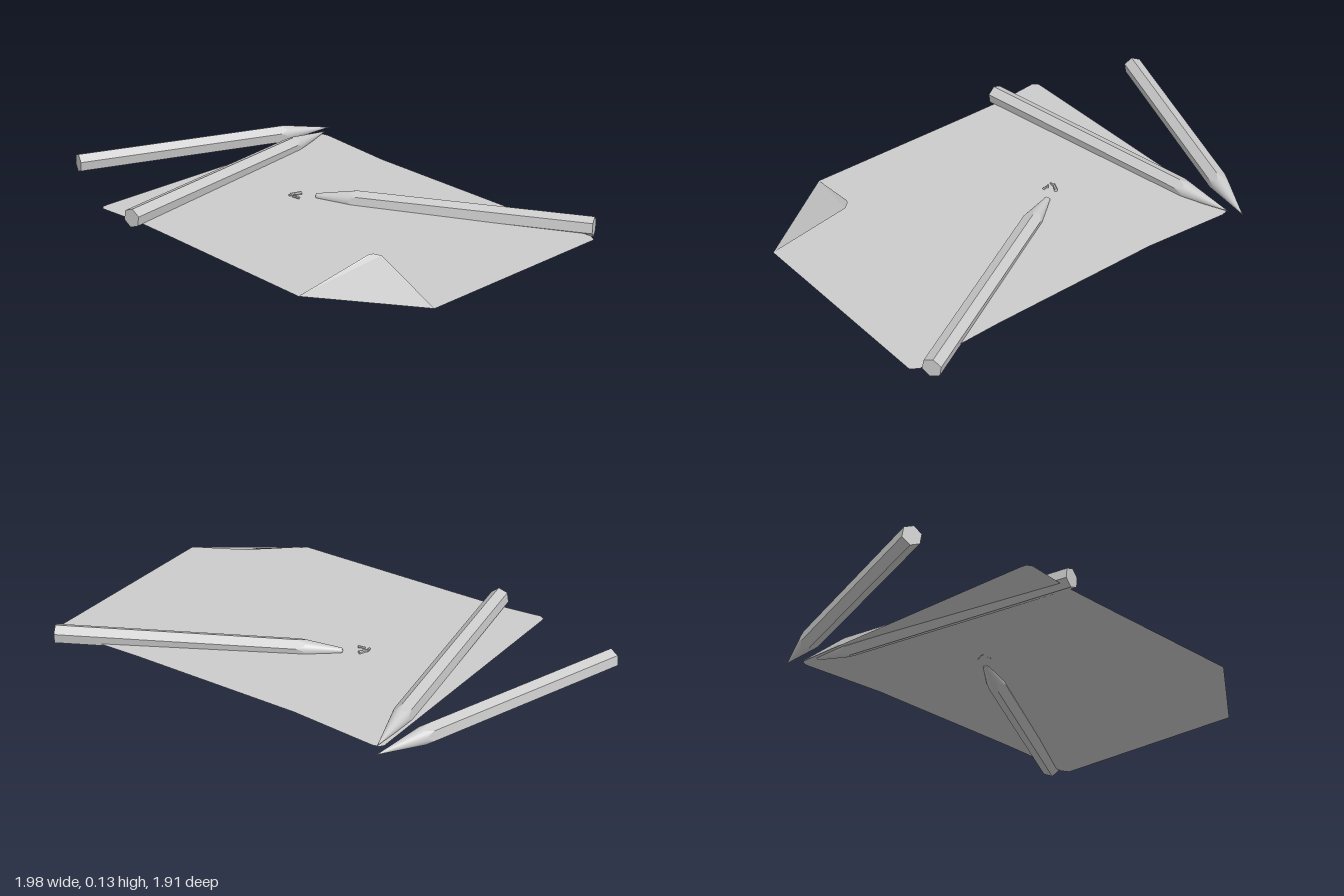
import * as THREE from 'three';

const R = 0.042;          // corner radius of the hexagonal barrel
const CONE = 0.25;        // full length of the sharpened cone
const LEAD = 0.012;       // radius where wood meets lead
const SEG = 48;
const PAPER_Y = 0.035;

const grey = () => new THREE.MeshStandardMaterial({ color: 0xcccccc });

function addMesh(parent, name, geometry, options = {}) {
  const material = grey();
  Object.assign(material, options);
  const mesh = new THREE.Mesh(geometry, material);
  mesh.name = name;
  parent.add(mesh);
  return mesh;
}

// Radius of the hexagon at angle a (corners at multiples of 60 degrees)
function hexRadius(a) {
  const step = Math.PI / 3;
  const local = ((a % step) + step) % step - step / 2;
  return R * Math.cos(Math.PI / 6) / Math.cos(local);
}

// Pushes one ring of a cylinder out to the hexagon; a scalloped ring follows the cone
function shapeRing(geometry, accepts, tipY) {
  const p = geometry.attributes.position;
  for (let i = 0; i < p.count; i++) {
    const x = p.getX(i), y = p.getY(i), z = p.getZ(i);
    if (!accepts(y) || Math.hypot(x, z) < 1e-5) continue;
    const a = Math.atan2(x, z), r = hexRadius(a);
    const newY = y > 0.001 ? tipY - CONE * r / R : y;
    p.setXYZ(i, r * Math.sin(a), newY, r * Math.cos(a));
  }
}

// Pencil from the middle of its butt to its tip; broken ones have lost the lead
function pencil(name, butt, tip, broken) {
  const group = new THREE.Group();
  group.name = name;
  const from = new THREE.Vector3(...butt), to = new THREE.Vector3(...tip);
  const leadLength = CONE * LEAD / R;
  const tipY = from.distanceTo(to) + (broken ? leadLength : 0);
  const shoulder = tipY - CONE;

  // Hexagonal barrel with scalloped end
  let barrel = new THREE.CylinderGeometry(R, R, shoulder, SEG, 1, true);
  barrel.translate(0, shoulder / 2, 0);
  shapeRing(barrel, () => true, tipY);
  barrel = barrel.toNonIndexed();
  barrel.computeVertexNormals();
  addMesh(group, 'barrel', barrel);

  // Flat butt
  const end = new THREE.CircleGeometry(R, 6);
  end.rotateX(Math.PI / 2);
  end.rotateY(Math.PI / 6);
  addMesh(group, 'butt', end);

  // Sharpened wood, its lower ring meeting the barrel
  const woodLength = CONE - leadLength;
  const wood = new THREE.CylinderGeometry(LEAD, R, woodLength, SEG, 1, true);
  wood.translate(0, shoulder + woodLength / 2, 0);
  shapeRing(wood, y => y < shoulder + 0.001, tipY);
  addMesh(group, 'sharpenedWood', wood);

  // Lead point, or the rough stump left after it snapped
  if (broken) {
    const stump = new THREE.SphereGeometry(LEAD, 12, 4, 0, Math.PI * 2, 0, Math.PI / 2);
    stump.scale(1, 0.5, 1);
    stump.translate(0, tipY - leadLength, 0);
    addMesh(group, 'brokenLead', stump, { flatShading: true });
  } else {
    const lead = new THREE.CylinderGeometry(0.0005, LEAD, leadLength, 24);
    lead.translate(0, tipY - leadLength / 2, 0);
    addMesh(group, 'leadPoint', lead);
  }

  // Lay the pencil along its line, rolled slightly off a corner
  const dir = to.clone().sub(from).normalize();
  const side = new THREE.Vector3().crossVectors(dir, new THREE.Vector3(0, 1, 0)).normalize();
  const up = new THREE.Vector3().crossVectors(side, dir);
  const basis = new THREE.Matrix4().makeBasis(side, dir, up);
  group.quaternion.setFromRotationMatrix(basis);
  group.rotateY(THREE.MathUtils.degToRad(9));
  group.position.copy(from);
  return group;
}

function paper() {
  const group = new THREE.Group();
  group.name = 'paper';

  // Flat sheet, outline given as x, z
  const outline = [
    [-0.93, -0.25], [-0.93, -0.275], [-0.91, -0.29], [0.11, -0.9], [0.13, -0.9],
    [0.15, -0.88], [0.32, -0.54], [0.72, 0.12], [0.82, 0.275], [0.94, 0.44],
    [0.94, 0.48], [0.16, 0.95], [-0.31, 0.74], [-0.7, 0.09], [-0.81, -0.09],
  ];
  const shape = new THREE.Shape(outline.map(([x, z]) => new THREE.Vector2(x, -z)));
  const sheet = new THREE.ShapeGeometry(shape);
  sheet.rotateX(-Math.PI / 2);
  sheet.translate(0, PAPER_Y, 0);
  addMesh(group, 'sheet', sheet, { side: THREE.DoubleSide });

  // Corner folded up over the sheet
  const flap = new THREE.BufferGeometry();
  flap.setAttribute('position', new THREE.Float32BufferAttribute([
    -0.31, PAPER_Y, 0.74, 0.16, PAPER_Y, 0.95,
    0.03, 0.13, 0.65, 0, 0.135, 0.637, -0.02, 0.133, 0.64,
  ], 3));
  flap.setIndex([0, 1, 2, 0, 2, 3, 0, 3, 4]);
  flap.computeVertexNormals();
  addMesh(group, 'foldedCorner', flap, { side: THREE.DoubleSide, flatShading: true });
  return group;
}

// Crumbs of the snapped lead: x, z, length, radius, turn
function crumbs() {
  const group = new THREE.Group();
  group.name = 'leadCrumbs';
  const pieces = [
    [-0.125, -0.229, 0.045, 0.008, 0.05], [-0.148, -0.222, 0.022, 0.007, 0.6],
    [-0.138, -0.2, 0.014, 0.006, -0.4], [-0.128, -0.187, 0.016, 0.006, -0.7],
  ];
  for (const [x, z, length, radius, turn] of pieces) {
    const geometry = new THREE.CylinderGeometry(radius * 0.6, radius, length, 7);
    geometry.rotateZ(Math.PI / 2);
    const crumb = addMesh(group, 'leadCrumb', geometry, { flatShading: true });
    crumb.position.set(x, PAPER_Y + radius * 0.7, z);
    crumb.rotation.y = turn;
  }
  return group;
}

export function createModel() {
  const model = new THREE.Group();
  model.name = 'paperAndPencils';
  model.add(
    paper(),
    pencil('backPencil', [-0.985, 0.061, -0.717], [0.172, 0.043, -0.958], false),
    pencil('middlePencil', [-0.835, 0.06, -0.07], [0.143, 0.045, -0.905], false),
    pencil('brokenPencil', [0.967, 0.055, 0.4], [-0.045, 0.04, -0.185], true),
    crumbs(),
  );
  return model;
}
